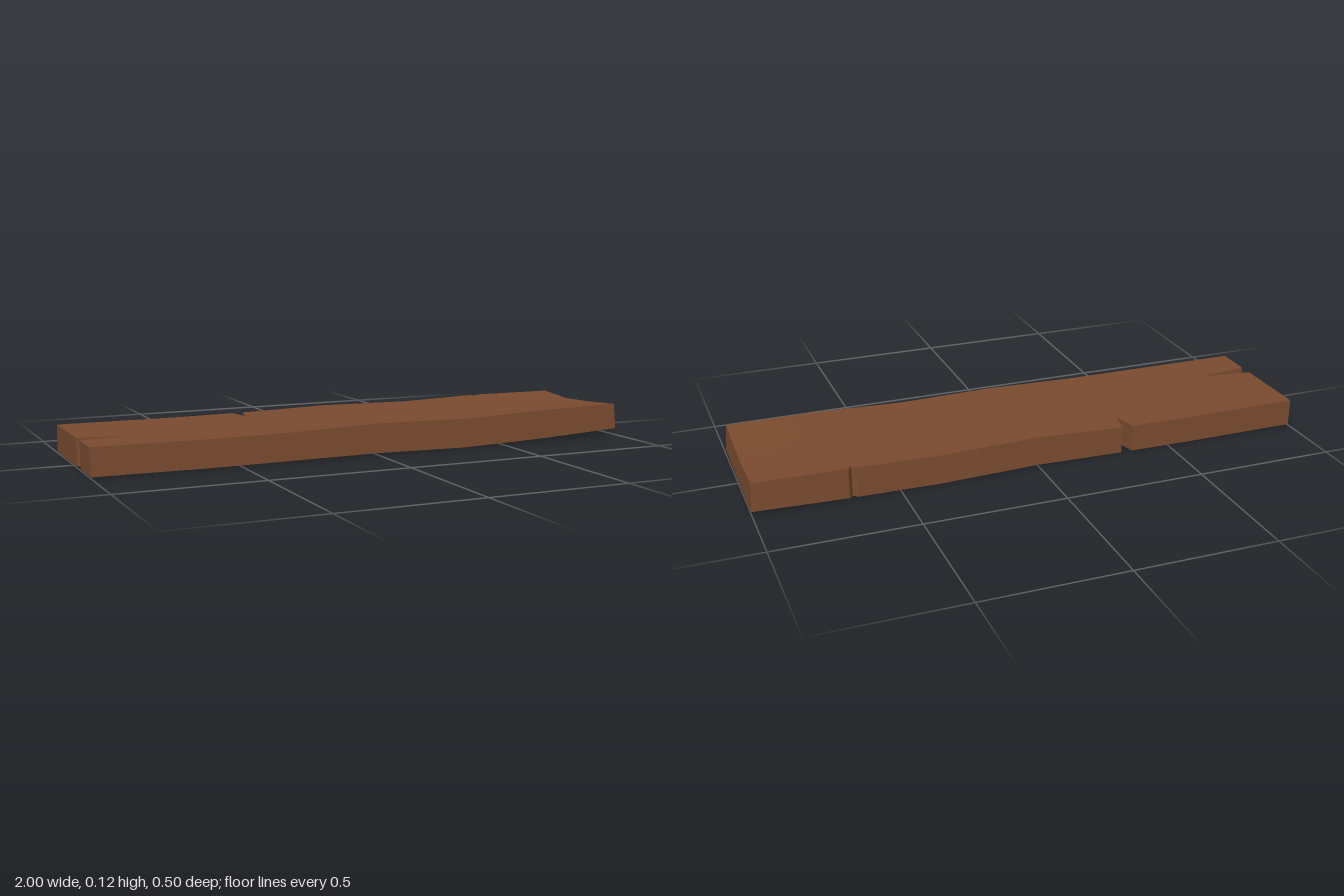
import * as THREE from 'three';
import { toCreasedNormals } from 'three/addons/utils/BufferGeometryUtils.js';

// Piecewise-linear lookup through [x, value] keys
function lerpKeys(keys, x) {
  if (x <= keys[0][0]) return keys[0][1];
  for (let i = 1; i < keys.length; i++) {
    const [x0, v0] = keys[i - 1], [x1, v1] = keys[i];
    if (x <= x1) return v0 + (v1 - v0) * (x - x0) / (x1 - x0);
  }
  return keys[keys.length - 1][1];
}

// Stations along the plank, denser at the notches and the end crack
const stations = [-1, -0.88, -0.8, -0.6, -0.355, -0.335, -0.315, -0.15, 0, 0.17, 0.35,
  0.5, 0.645, 0.66, 0.675, 0.85, 1];
const crackTip = -0.8;

// Side edges, [bottom, top]
const backEdge = [
  [[-1, -0.248], [-0.355, -0.248], [-0.335, -0.17], [-0.315, -0.248], [0, -0.24],
    [0.35, -0.248], [0.645, -0.248], [0.66, -0.235], [0.675, -0.248], [1, -0.243]],
  [[-1, -0.248], [-0.355, -0.248], [-0.335, -0.15], [-0.315, -0.248], [0, -0.237],
    [0.35, -0.243], [0.645, -0.247], [0.66, -0.225], [0.675, -0.247], [1, -0.238]],
];
const frontEdge = [
  [[-1, 0.244], [-0.6, 0.247], [0, 0.242], [0.65, 0.244], [1, 0.236]],
  [[-1, 0.24], [-0.6, 0.245], [0, 0.239], [0.65, 0.241], [1, 0.232]],
];
// Both lips of the split in the end
const crackBack = [[[-1, 0.05], [-0.88, 0.08]], [[-1, 0.05], [-0.8, 0.08]]];
const crackFront = [[[-1, 0.102], [-0.88, 0.08]], [[-1, 0.102], [-0.8, 0.08]]];

// Warp of the lower and upper faces
const heights = [
  [[-1, 0.004], [-0.6, 0.002], [0, 0.005], [0.35, 0], [0.67, 0.003], [1, 0.01]],
  [[-1, 0.1], [-0.6, 0.098], [-0.3, 0.1], [0, 0.109], [0.35, 0.103], [0.67, 0.114], [1, 0.117]],
];
const sag = [[-0.24, 0.007], [-0.09, 0.019], [0.08, 0.011], [0.23, 0]];
const lift = [[-0.1, 0], [0.24, 0.014]];

function point(x, t, side, back, front) {
  const z = THREE.MathUtils.lerp(lerpKeys(back[side], x), lerpKeys(front[side], x), t);
  const twist = THREE.MathUtils.clamp((x - 0.35) / 0.65, 0, 1);
  const bend = side ? -lerpKeys(sag, z) : lerpKeys(lift, z);
  const px = side && x === 1 ? 0.993 : x;
  return new THREE.Vector3(px, lerpKeys(heights[side], x) + twist * bend, z);
}

function createModel() {
  const positions = [];
  const quad = (a, b, c, d) => {
    for (const tri of [[a, b, c], [a, c, d]]) {
      if (new THREE.Triangle(...tri).getArea() < 1e-8) continue;
      tri.forEach(p => positions.push(p.x, p.y, p.z));
    }
  };

  // One lengthwise strip of the plank with its faces, walls and ends
  function strip(back, front, rows, backIsCrack) {
    const grid = [0, 1].map(side => stations.map(x =>
      Array.from({ length: rows + 1 }, (_, j) => point(x, j / rows, side, back, front))));
    const [low, high] = grid;
    const last = stations.length - 1;
    for (let i = 0; i < last; i++) {
      for (let j = 0; j < rows; j++) {
        quad(high[i][j], high[i][j + 1], high[i + 1][j + 1], high[i + 1][j]);
        quad(low[i][j], low[i + 1][j], low[i + 1][j + 1], low[i][j + 1]);
      }
      const inCrack = stations[i] < crackTip;
      if (!backIsCrack || inCrack) quad(low[i][0], high[i][0], high[i + 1][0], low[i + 1][0]);
      if (backIsCrack || inCrack) {
        quad(low[i][rows], low[i + 1][rows], high[i + 1][rows], high[i][rows]);
      }
    }
    for (let j = 0; j < rows; j++) {
      quad(low[last][j], high[last][j], high[last][j + 1], low[last][j + 1]);
      quad(low[0][j], low[0][j + 1], high[0][j + 1], high[0][j]);
    }
  }
  strip(backEdge, crackBack, 4, false);
  strip(crackFront, frontEdge, 2, true);

  const soup = new THREE.BufferGeometry();
  soup.setAttribute('position', new THREE.Float32BufferAttribute(positions, 3));
  const wood = new THREE.MeshStandardMaterial({ color: 0x7a4b2f });
  wood.name = 'brown wood';
  const plank = new THREE.Mesh(toCreasedNormals(soup, 0.5), wood);
  plank.name = 'plank';

  const group = new THREE.Group();
  group.name = 'wornPlank';
  group.add(plank);
  return group;
}

export { createModel };
